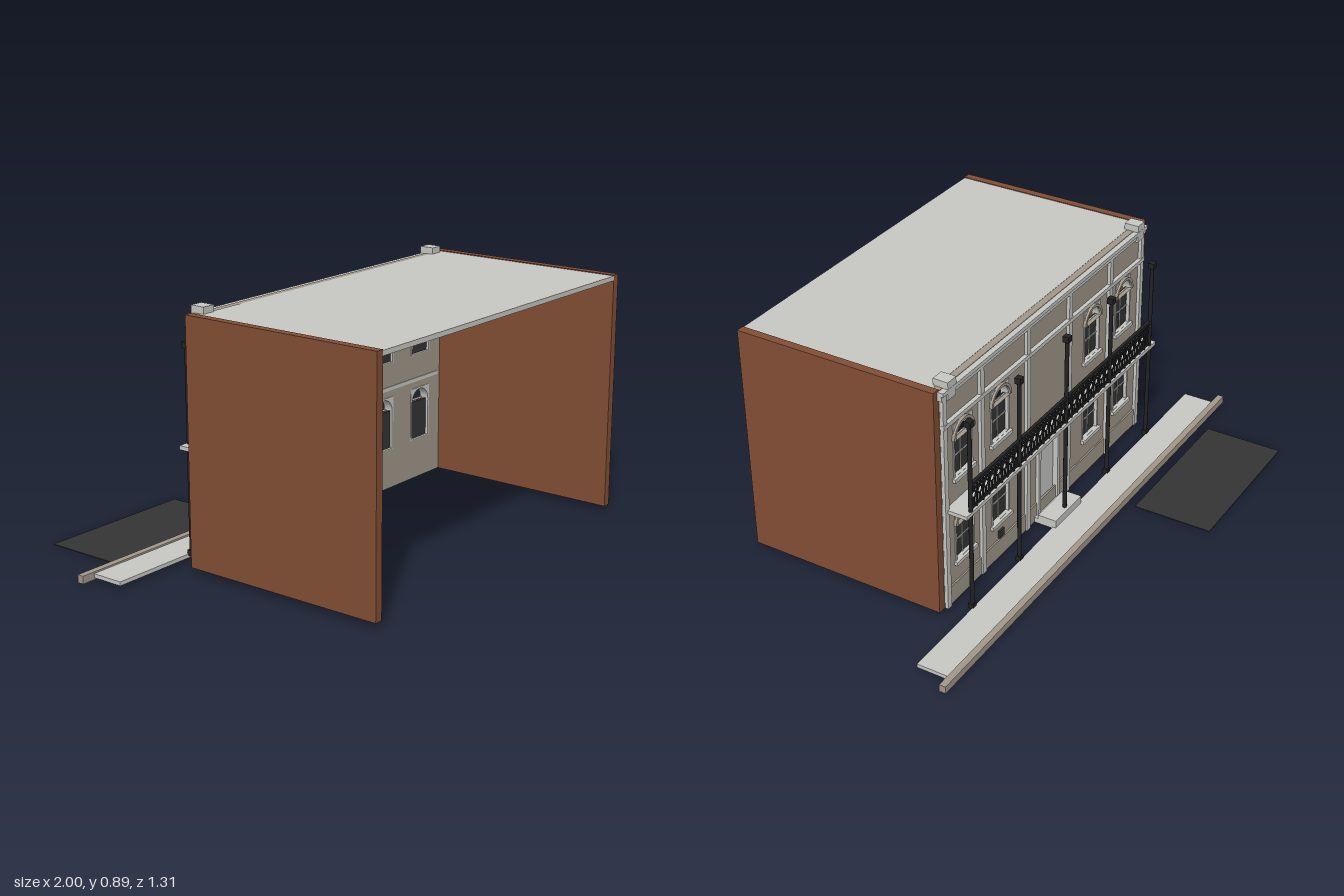
import * as THREE from 'three';
import { mergeGeometries } from 'three/addons/utils/BufferGeometryUtils.js';

export function createModel() {
  const model = new THREE.Group();
  const mat = (name, color) => {
    const m = new THREE.MeshStandardMaterial({ color });
    m.name = name;
    return m;
  };
  const stone = mat('paleStone', 0xc8c8c4);
  const plaster = mat('tanPlaster', 0xa2988a);
  const brick = mat('brick', 0x834e35);
  const dark = mat('darkGlass', 0x343434);
  const iron = mat('blackIron', 0x222222);

  const add = (name, geo, m, parent = model) => {
    const mesh = new THREE.Mesh(geo, m);
    mesh.name = name;
    parent.add(mesh);
    return mesh;
  };
  // Box geometry given by its limits on each axis
  const boxGeo = (x0, x1, y0, y1, z0, z1) =>
    new THREE.BoxGeometry(x1 - x0, y1 - y0, z1 - z0)
      .translate((x0 + x1) / 2, (y0 + y1) / 2, (z0 + z1) / 2);
  const box = (name, m, ...b) => add(name, boxGeo(...b), m);
  const group = (name) => {
    const g = new THREE.Group();
    g.name = name;
    model.add(g);
    return g;
  };

  // Outline of a rectangle, and of an arched opening of half-width r
  const rectPath = (P, x0, x1, y0, y1) => {
    const p = new P();
    p.moveTo(x0, y0); p.lineTo(x1, y0); p.lineTo(x1, y1); p.lineTo(x0, y1); p.closePath();
    return p;
  };
  const archPath = (P, cx, y0, spring, r) => {
    const p = new P();
    p.moveTo(cx - r, y0); p.lineTo(cx + r, y0); p.lineTo(cx + r, spring);
    p.absarc(cx, spring, r, 0, Math.PI, false);
    p.closePath();
    return p;
  };
  const extrude = (shape, z0, z1) =>
    new THREE.ExtrudeGeometry(shape, { depth: z1 - z0, bevelEnabled: false, curveSegments: 10 })
      .translate(0, 0, z0);

  // Brick side walls and roof
  box('rightSideWall', brick, -0.705, -0.675, 0.02, 0.87, -0.103, 0.655);
  box('leftSideWall', brick, 0.66, 0.69, 0.02, 0.87, -0.103, 0.655);
  box('roof', stone, -0.675, 0.66, 0.85, 0.867, -0.08, 0.655);

  // Facade with window and door openings
  const columns = [-0.54, -0.31, 0.31, 0.535];
  const sills = [0.17, 0.5];
  const wall = rectPath(THREE.Shape, -0.675, 0.66, 0.02, 0.866);
  for (const x of columns) for (const y of sills)
    wall.holes.push(rectPath(THREE.Path, x - 0.055, x + 0.055, y, y + 0.2));
  wall.holes.push(rectPath(THREE.Path, -0.065, 0.065, 0.021, 0.36));
  add('facadeWall', extrude(wall, -0.105, -0.08), plaster);
  box('facadeBase', plaster, -0.67, 0.655, 0.02, 0.09, -0.111, -0.104);

  // Windows: arched frame, dark sash, glazing bars, hood and sill
  for (const x of columns) for (const y of sills) {
    const win = group('window');
    const spring = y + 0.145;
    const frame = rectPath(THREE.Shape, x - 0.057, x + 0.057, y, y + 0.201);
    frame.holes.push(archPath(THREE.Path, x, y + 0.003, spring, 0.05));
    add('windowFrame', extrude(frame, -0.108, -0.078), stone, win);
    add('windowGlass', boxGeo(x - 0.05, x + 0.05, y, spring, -0.095, -0.088), dark, win);
    add('windowBars', mergeGeometries([
      boxGeo(x - 0.002, x + 0.002, y, spring, -0.098, -0.094),
      boxGeo(x - 0.05, x + 0.05, y + 0.07, y + 0.075, -0.098, -0.094),
      boxGeo(x - 0.05, x + 0.05, spring - 0.005, spring, -0.098, -0.094),
    ]), stone, win);
    const hood = archPath(THREE.Shape, x, spring, spring, 0.062);
    hood.holes.push(archPath(THREE.Path, x, spring + 0.0005, spring, 0.052));
    add('windowHood', extrude(hood, -0.116, -0.1), plaster, win);
    add('windowSill', boxGeo(x - 0.064, x + 0.064, y - 0.012, y + 0.002, -0.118, -0.1), stone, win);
  }
  box('wallVent', dark, 0.295, 0.325, 0.095, 0.125, -0.112, -0.104);

  // Door with inset panels, surround and doorstep
  box('door', stone, -0.065, 0.065, 0.02, 0.36, -0.098, -0.082);
  for (const y of [0.025, 0.09, 0.16, 0.225])
    box('doorPanel', dark, -0.05, 0.046, y, y + 0.048, -0.083, -0.078);
  for (const s of [-1, 1]) {
    const a = s * 0.058, b = s * 0.073;
    box('doorJamb', stone, Math.min(a, b), Math.max(a, b), 0.02, 0.35, -0.118, -0.078);
    box('doorBracket', stone, s * 0.07 - 0.006, s * 0.07 + 0.006, 0.315, 0.35, -0.124, -0.1);
  }
  box('doorLintel', stone, -0.08, 0.08, 0.348, 0.37, -0.122, -0.1);
  box('doorstep', stone, -0.09, 0.09, 0.02, 0.04, -0.198, -0.105);
  box('doorstepTop', stone, -0.09, 0.09, 0.04, 0.055, -0.198, -0.125);

  // Pilasters, bands, cornice and corner blocks
  for (const x of [-0.663, -0.43, -0.14, 0.14, 0.43, 0.648])
    box('pilaster', stone, x - 0.011, x + 0.011, 0.02, 0.835, -0.117, -0.1);
  box('upperBand', stone, -0.675, 0.66, 0.723, 0.738, -0.12, -0.1);
  box('cornice', stone, -0.68, 0.668, 0.832, 0.85, -0.118, -0.1);
  box('corniceCap', stone, -0.68, 0.668, 0.85, 0.864, -0.125, -0.1);
  for (const x of [-0.63, 0.617]) {
    box('cornerBlock', stone, x - 0.022, x + 0.022, 0.825, 0.865, -0.124, -0.071);
    box('cornerBlockCap', stone, x - 0.024, x + 0.024, 0.865, 0.89, -0.125, -0.07);
  }

  // Balcony floor and iron posts
  box('balconyFloor', stone, -0.657, 0.645, 0.397, 0.411, -0.188, -0.077);
  const posts = [-0.62, -0.313, -0.003, 0.308, 0.61];
  for (const x of posts) {
    add('balconyPost', new THREE.CylinderGeometry(0.0075, 0.0075, 0.72, 12)
      .translate(x, 0.38, -0.18), iron);
    box('postCapital', iron, x - 0.012, x + 0.012, 0.733, 0.755, -0.192, -0.168);
    box('postFoot', iron, x - 0.01, x + 0.01, 0.02, 0.04, -0.19, -0.17);
  }

  // Railing: rails with bars and scrolled rings in each bay
  for (let i = 0; i < 4; i++) {
    const x0 = posts[i], x1 = posts[i + 1], n = 8, step = (x1 - x0) / n;
    const parts = [
      boxGeo(x0, x1, 0.505, 0.517, -0.186, -0.174),
      boxGeo(x0, x1, 0.485, 0.491, -0.183, -0.177),
      boxGeo(x0, x1, 0.418, 0.427, -0.184, -0.176),
    ];
    for (let j = 0; j < n; j++) {
      const c = x0 + (j + 0.5) * step;
      parts.push(boxGeo(c - step / 2 - 0.003, c - step / 2 + 0.003, 0.411, 0.507, -0.183, -0.177));
      parts.push(boxGeo(c - 0.003, c + 0.003, 0.42, 0.45, -0.183, -0.177));
      parts.push(new THREE.TorusGeometry(0.013, 0.003, 5, 12).translate(c, 0.465, -0.18));
      parts.push(boxGeo(c - 0.003, c + 0.003, 0.478, 0.507, -0.183, -0.177));
    }
    add('balconyRailing', mergeGeometries(parts), iron);
  }

  // Pavement, kerb and road patch
  box('pavement', stone, -0.95, 0.948, 0.012, 0.026, -0.306, -0.186);
  box('kerb', plaster, -1, 1, 0.005, 0.032, -0.328, -0.304);
  box('roadPatch', dark, -0.8, -0.2, 0, 0.003, -0.657, -0.36);

  return model;
}
